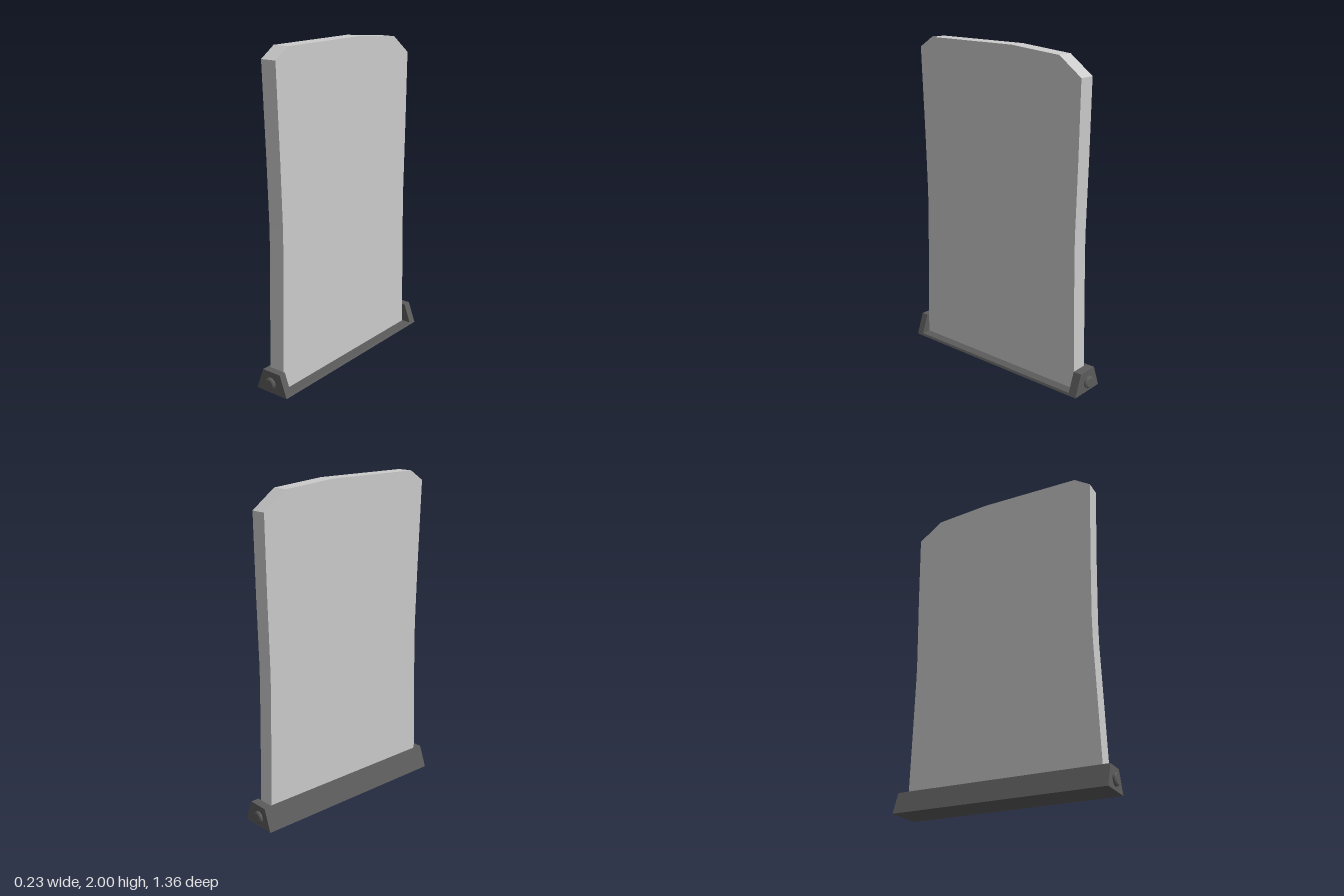
import * as THREE from 'three';
import { toCreasedNormals } from 'three/addons/utils/BufferGeometryUtils.js';

const grey = new THREE.MeshStandardMaterial({ color: 0xcccccc });
const dark = new THREE.MeshStandardMaterial({ color: 0x5c5c5c });

// Prism from a 2D outline, running from z0 to z1
function prism(points, z0, z1) {
  const shape = new THREE.Shape(points.map(([x, y]) => new THREE.Vector2(x, y)));
  const geometry = new THREE.ExtrudeGeometry(shape, { depth: z1 - z0, bevelEnabled: false });
  return geometry.translate(0, 0, z0);
}

export function createModel() {
  const model = new THREE.Group();
  const add = (name, geometry, material) => {
    const mesh = new THREE.Mesh(geometry, material);
    mesh.name = name;
    model.add(mesh);
    return mesh;
  };

  // Upright panel: waisted sides and clipped top corners, outline as [z, y]
  const outline = [
    [-0.605, 0.015], [0.62, 0.015], [0.605, 0.55], [0.595, 0.88], [0.595, 1.03],
    [0.605, 1.4], [0.625, 1.935], [0.525, 2], [-0.11, 2], [-0.45, 1.97],
    [-0.6, 1.86], [-0.594, 1.4], [-0.585, 0.98], [-0.585, 0.86], [-0.593, 0.5],
  ];
  const panel = prism(outline, -0.051, 0.051).rotateY(-Math.PI / 2);
  add('panel', toCreasedNormals(panel, 0.35), grey);

  // Base channel: thin floor with a sloping wall on one side only
  const channel = [
    [-0.115, 0], [0.115, 0], [0.109, 0.014], [-0.055, 0.014], [-0.055, 0.135], [-0.065, 0.135],
  ];
  add('baseChannel', prism(channel, -0.612, 0.62), dark);

  // Trapezoid end blocks
  const block = [[-0.115, 0], [0.115, 0], [0.065, 0.135], [-0.065, 0.135]];
  add('frontEndBlock', prism(block, 0.62, 0.665), dark);
  add('backEndBlock', prism(block, -0.665, -0.612), dark);

  // Chamfered bolt heads on both ends
  const profile = [[0.038, 0], [0.038, 0.01], [0.028, 0.017], [0, 0.017]]
    .map(([r, h]) => new THREE.Vector2(r, h));
  for (const side of [1, -1]) {
    const geometry = toCreasedNormals(new THREE.LatheGeometry(profile, 16), 0.5);
    const bolt = add(side > 0 ? 'frontBolt' : 'backBolt', geometry, dark);
    bolt.rotation.x = side * Math.PI / 2;
    bolt.position.set(-0.007, 0.06, side * 0.665);
  }

  return model;
}
